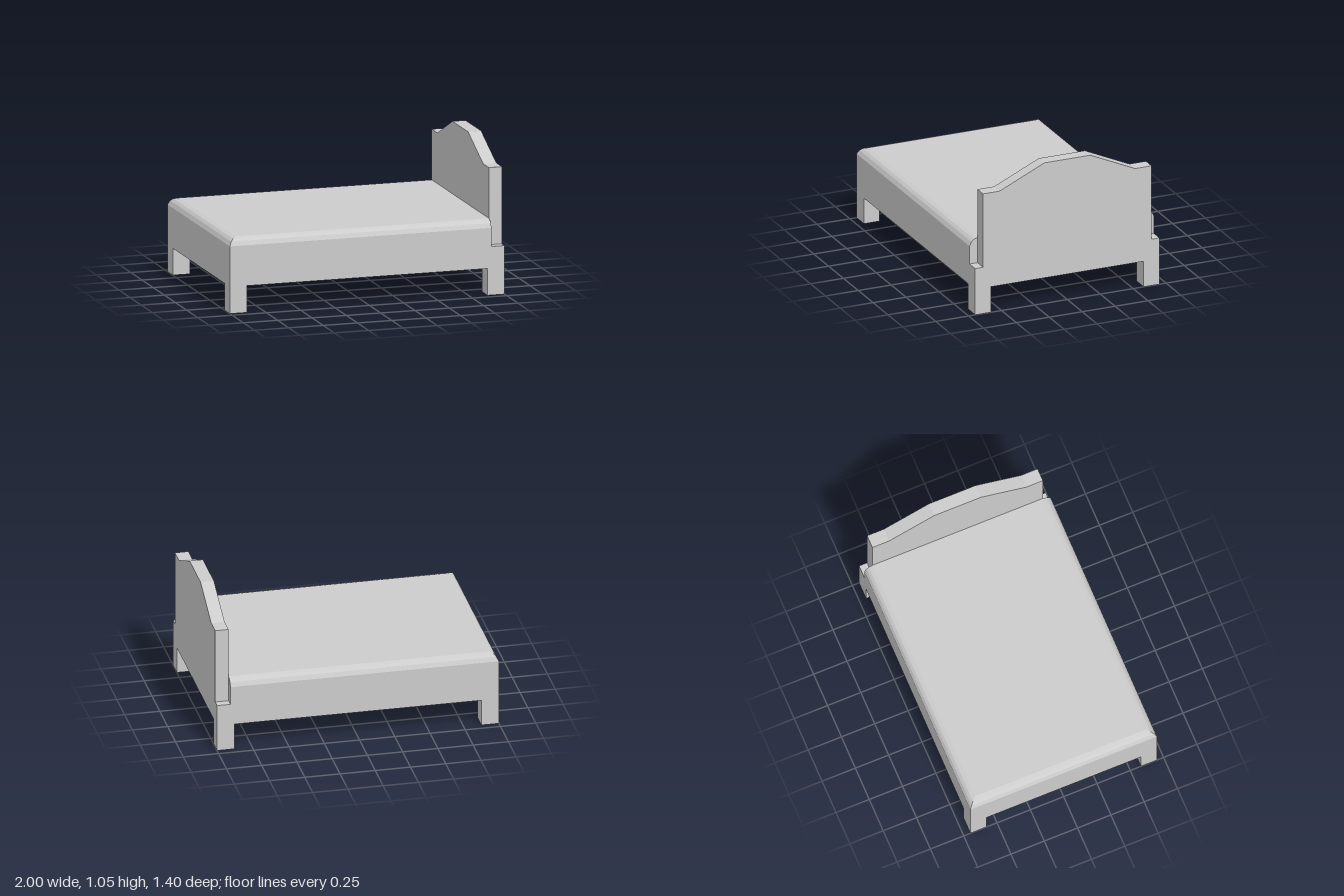
import * as THREE from 'three';

const HALF_W = 0.7;     // half width of the bed
const BASE = 0.19;      // underside height
const BOARD_X = 0.905;  // inner face of the headboard

// Mattress block: stacked rings, rounded on three sides, flat against the headboard
function mattressGeometry() {
  const profile = [[0, BASE], [0, 0.477], [0.015, 0.507], [0.033, 0.523], [0.06, 0.532]];
  const rings = profile.map(([inset, y]) => [
    [BOARD_X, y, HALF_W - inset],
    [BOARD_X, y, -HALF_W + inset],
    [-1 + inset, y, -HALF_W + inset],
    [-1 + inset, y, HALF_W - inset],
  ]);
  const pos = [];
  const quad = (a, b, c, d) => pos.push(...a, ...b, ...c, ...a, ...c, ...d);
  for (let i = 0; i < rings.length - 1; i++) {
    for (let j = 0; j < 4; j++) {
      const k = (j + 1) % 4;
      quad(rings[i][j], rings[i][k], rings[i + 1][k], rings[i + 1][j]);
    }
  }
  quad(...rings[rings.length - 1]);      // top
  quad(...[...rings[0]].reverse());      // underside
  const geo = new THREE.BufferGeometry();
  geo.setAttribute('position', new THREE.Float32BufferAttribute(pos, 3));
  geo.computeVertexNormals();
  return geo;
}

// Headboard: mirrored outline with low side ledges and a sloped crest
function headboardGeometry() {
  const half = [[HALF_W, BASE], [HALF_W, 0.345], [0.64, 0.345], [0.64, 0.892], [0.515, 0.892], [0.175, 1.047]];
  const outline = [...half, ...half.map(([u, y]) => [-u, y]).reverse()];
  const shape = new THREE.Shape(outline.map(([u, y]) => new THREE.Vector2(u, y)));
  const geo = new THREE.ExtrudeGeometry(shape, { depth: 1 - BOARD_X, bevelEnabled: false });
  return geo.rotateY(Math.PI / 2).translate(BOARD_X, 0, 0);
}

// Leg: square sleeve, open underneath
function legGeometry(w, h, d) {
  const geo = new THREE.CylinderGeometry(Math.SQRT1_2, Math.SQRT1_2, 1, 4, 1, true)
    .rotateY(Math.PI / 4).scale(w, h, d).toNonIndexed();
  geo.computeVertexNormals();
  return geo;
}

export function createModel() {
  const grey = new THREE.MeshStandardMaterial({ color: 0xcccccc, side: THREE.DoubleSide });
  grey.name = 'plain grey';
  const bed = new THREE.Group();
  bed.name = 'bed';
  const add = (name, geo) => {
    const mesh = new THREE.Mesh(geo, grey);
    mesh.name = name;
    bed.add(mesh);
    return mesh;
  };

  add('mattress', mattressGeometry());
  add('headboard', headboardGeometry());

  // Four corner legs
  const w = 0.125, d = 0.12;
  const leg = legGeometry(w, BASE, d);
  for (const sx of [-1, 1]) {
    for (const sz of [-1, 1]) {
      const name = (sx > 0 ? 'head' : 'foot') + (sz > 0 ? 'FrontLeg' : 'BackLeg');
      add(name, leg).position.set(sx * (1 - w / 2), BASE / 2, sz * (HALF_W - d / 2));
    }
  }
  return bed;
}
